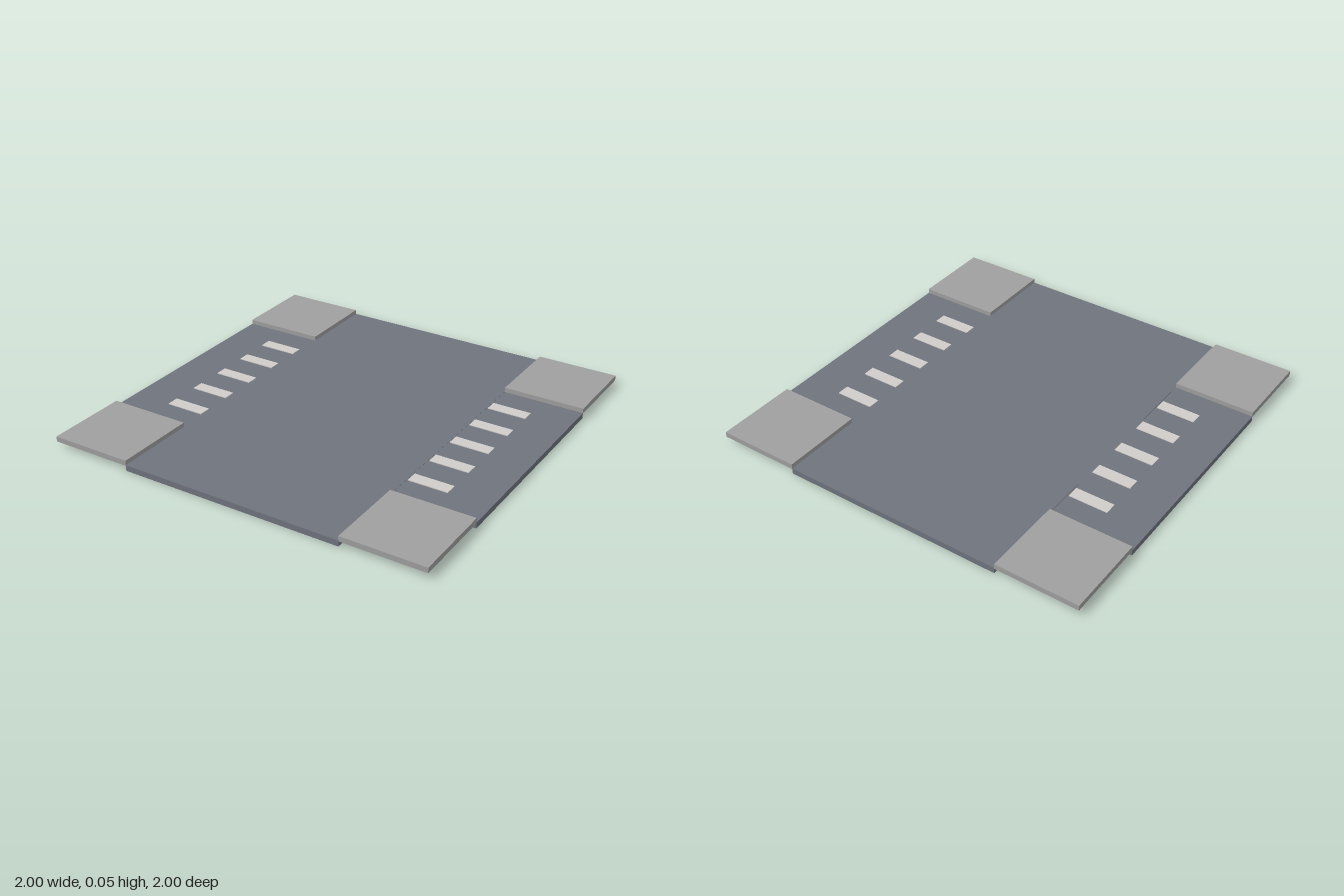
import * as THREE from 'three';

const EDGE = 0.575; // half width of each road

export function createModel() {
  const model = new THREE.Group();
  model.name = 'crossroadsTile';

  const material = (name, color) => {
    const m = new THREE.MeshStandardMaterial({ color });
    m.name = name;
    return m;
  };
  const asphalt = material('asphalt', 0x70747e);
  const concrete = material('concrete', 0xa0a0a0);
  const paint = material('roadPaint', 0xd0cdc9);

  // Box given by its minimum and maximum corners
  const slab = (name, mat, [x0, y0, z0], [x1, y1, z1]) => {
    const mesh = new THREE.Mesh(new THREE.BoxGeometry(x1 - x0, y1 - y0, z1 - z0), mat);
    mesh.position.set((x0 + x1) / 2, (y0 + y1) / 2, (z0 + z1) / 2);
    mesh.name = name;
    model.add(mesh);
  };

  // Main road running front to back
  slab('mainRoad', asphalt, [-EDGE, 0, -1], [EDGE, 0.03, 1]);

  for (const [side, sx] of [['left', 1], ['right', -1]]) {
    const span = (a, b) => (sx > 0 ? [a, b] : [-b, -a]);
    const [a0, a1] = span(EDGE, 1);

    // Side road arm
    slab(`${side}SideRoad`, asphalt, [a0, 0, -EDGE], [a1, 0.029, EDGE]);

    // Raised pavement corners
    slab(`${side}FrontPavement`, concrete, [a0, 0.026, EDGE], [a1, 0.053, 1]);
    slab(`${side}BackPavement`, concrete, [a0, 0.026, -1], [a1, 0.053, -EDGE]);

    // Crossing stripes
    const [s0, s1] = span(0.583, 0.786);
    for (let i = -2; i <= 2; i++) {
      const z = i * 0.2;
      slab(`${side}CrossingStripe`, paint, [s0, 0.026, z - 0.032], [s1, 0.033, z + 0.032]);
    }
  }
  return model;
}
